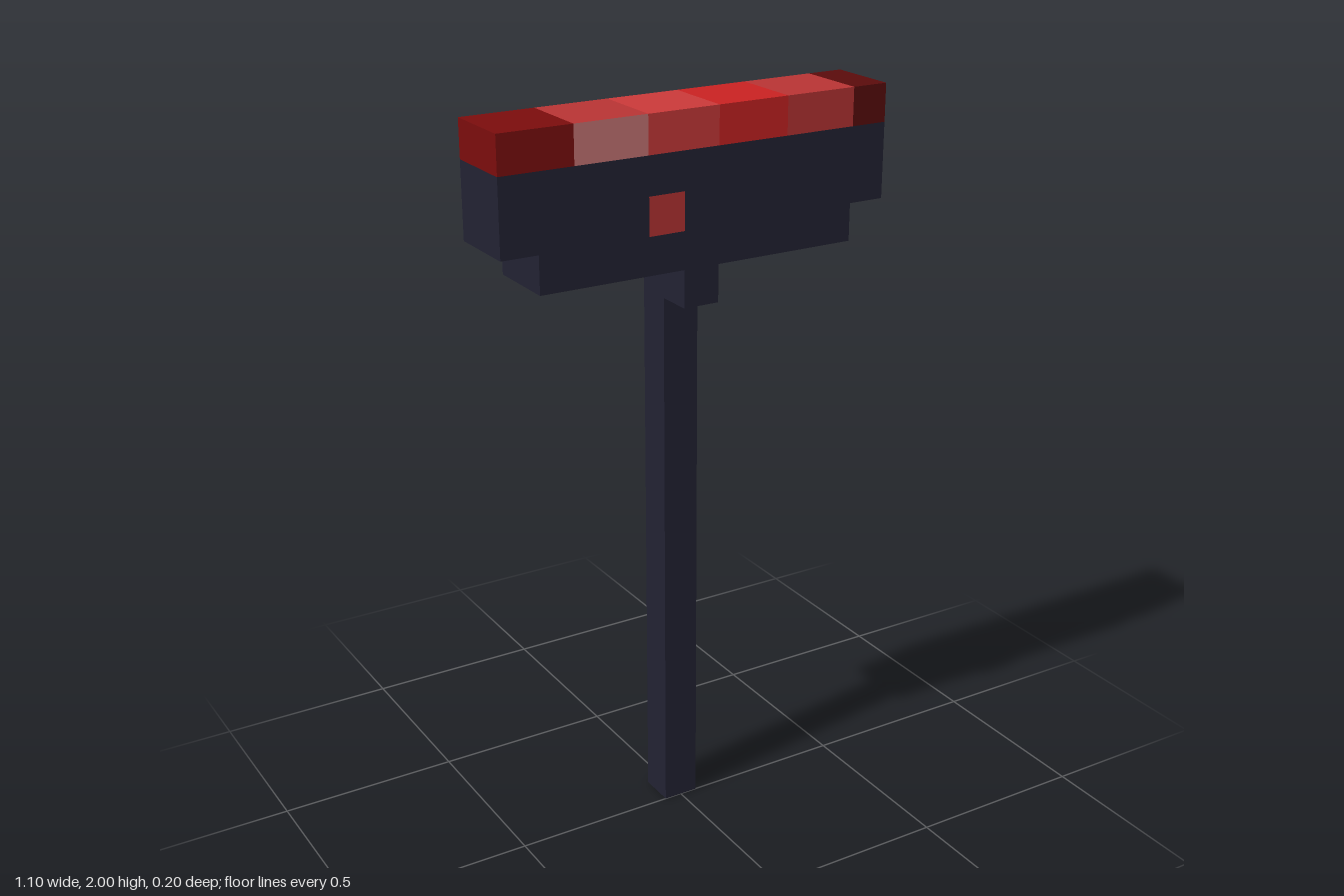
import * as THREE from 'three';

const mat = (name, hex) => {
  const m = new THREE.MeshStandardMaterial({ color: hex });
  m.name = name;
  return m;
};

export function createModel() {
  const body = mat('dark slate', 0x222233);
  const maroon = mat('maroon', 0x7c0d0d);
  const deep = mat('deep maroon', 0x5a0c0c);
  const brick = mat('brick red', 0xb83434);
  const coral = mat('coral red', 0xcb3939);
  const bright = mat('bright red', 0xc92222);
  const pink = mat('dusty pink', 0xc97777);

  const model = new THREE.Group();
  model.name = 'hammer';

  // Box given by its lower and upper corners
  const block = (name, material, [x0, y0, z0], [x1, y1, z1]) => {
    const mesh = new THREE.Mesh(new THREE.BoxGeometry(x1 - x0, y1 - y0, z1 - z0), material);
    mesh.position.set((x0 + x1) / 2, (y0 + y1) / 2, (z0 + z1) / 2);
    mesh.name = name;
    model.add(mesh);
  };

  // Pole, set to the back half, with a bracket under the head
  block('pole', body, [-0.05, 0, -0.1], [0.05, 1.5, 0]);
  block('bracket', body, [-0.05, 1.5, -0.1], [0.05, 1.6, 0.1]);

  // Stepped head
  const profile = new THREE.Shape([
    [-0.45, 1.6], [0.45, 1.6], [0.45, 1.7], [0.55, 1.7],
    [0.55, 1.9], [-0.55, 1.9], [-0.55, 1.7], [-0.45, 1.7],
  ].map(([x, y]) => new THREE.Vector2(x, y)));
  const head = new THREE.Mesh(
    new THREE.ExtrudeGeometry(profile, { depth: 0.2, bevelEnabled: false }), body);
  head.position.z = -0.1;
  head.name = 'head';
  model.add(head);

  // Row of red blocks along the top; the second has its own front and back colours
  const row = [
    [-0.55, -0.35, maroon],
    [-0.35, -0.15, [brick, brick, brick, brick, pink, bright]],
    [-0.15, 0.05, coral],
    [0.05, 0.25, bright],
    [0.25, 0.45, brick],
    [0.45, 0.55, deep],
  ];
  row.forEach(([x0, x1, m], i) =>
    block(`topBlock${i + 1}`, m, [x0, 1.9, -0.1], [x1, 2, 0.1]));

  // Small square on the front
  const square = new THREE.Mesh(new THREE.PlaneGeometry(0.1, 0.1), brick);
  square.position.set(-0.1, 1.75, 0.102);
  square.name = 'frontSquare';
  model.add(square);

  return model;
}
